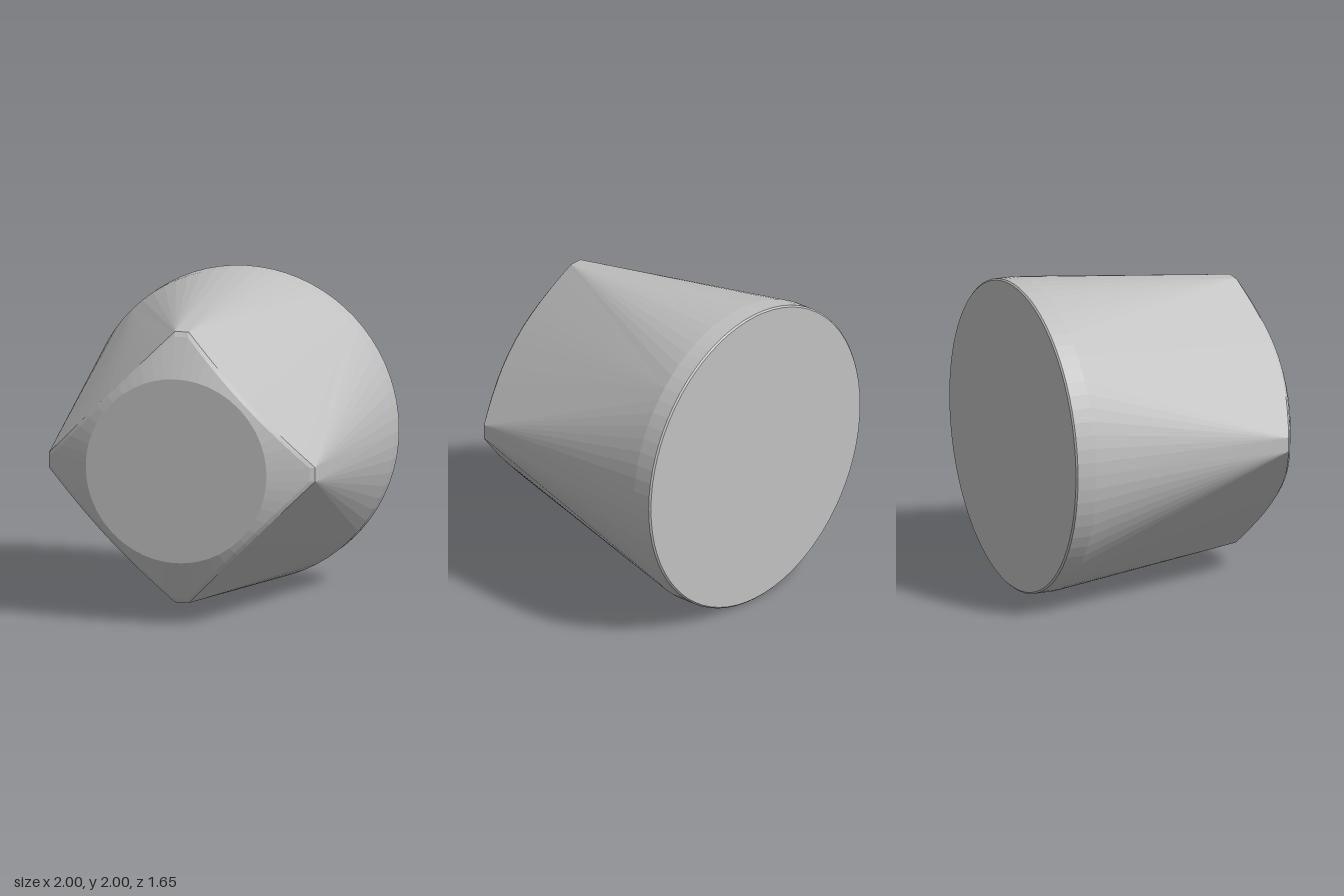
import * as THREE from 'three';

// Columns around the body: each joins a point on the round base to a point on the square rim.
function makeColumns() {
  const columns = [];
  const perEighth = 9, edgeSteps = 12, tip = 0.87, half = 0.045;
  const turn = (x, y, a) => new THREE.Vector2(x, y).rotateAround(new THREE.Vector2(), a);
  for (let q = 0; q < 4; q++) {
    const a = q * Math.PI / 2;
    const before = turn(tip, -half, a), after = turn(tip, half, a);
    const next = turn(tip, -half, a + Math.PI / 2);
    const add = (i, rim) => columns.push({ base: turn(1, 0, a + (i / perEighth) * Math.PI / 4), rim });
    // both halves of the base arc fan in to the clipped corner
    for (let i = -perEighth; i <= 0; i++) add(i, before);
    for (let i = 0; i <= perEighth; i++) add(i, after);
    // the straight rim edge fans back to one point on the base
    for (let j = 1; j < edgeSteps; j++) add(perEighth, after.clone().lerp(next, j / edgeSteps));
  }
  return columns;
}

// Cross-sections of one column from the back centre to the front centre.
function section({ base, rim }) {
  const at = (p, scale, z) => new THREE.Vector3(p.x * scale, p.y * scale, z);
  const r = rim.length(), inner = 0.965;
  const coneZ = 0.826 - 0.46 * Math.max(0, r * inner - 0.59);
  return [
    at(base, 0, -0.826),
    at(base, 0.99, -0.826),
    at(base, 1, -0.816),
    at(base, 1, -0.69),
    at(rim, 1, coneZ - 0.022),
    at(rim, inner, coneZ),
    at(rim, 0.59 / r, 0.826),
    at(rim, 0, 0.826),
  ];
}

// Skin of the sections from ring `from` to ring `to`, with flat facets.
function skin(sections, from, to) {
  const points = [];
  const triangle = (a, b, c) => {
    const area = b.clone().sub(a).cross(c.clone().sub(a)).length();
    if (area > 1e-7) points.push(a, b, c);
  };
  sections.forEach((s, i) => {
    const t = sections[(i + 1) % sections.length];
    for (let k = from; k < to; k++) {
      triangle(s[k], t[k], t[k + 1]);
      triangle(s[k], t[k + 1], s[k + 1]);
    }
  });
  const geometry = new THREE.BufferGeometry().setFromPoints(points);
  geometry.computeVertexNormals();
  return geometry;
}

export function createModel() {
  const model = new THREE.Group();
  model.name = 'taperedCap';
  const grey = new THREE.MeshStandardMaterial({ color: 0xc0c0c0 });
  grey.name = 'plain grey';

  const sections = makeColumns().map(section);
  const parts = { backFace: [0, 1], baseBand: [1, 3], taperedSides: [3, 4], roundedRim: [4, 5], frontBevel: [5, 6], frontFace: [6, 7] };
  for (const [name, [from, to]] of Object.entries(parts)) {
    const mesh = new THREE.Mesh(skin(sections, from, to), grey);
    mesh.name = name;
    mesh.position.y = 1;
    model.add(mesh);
  }
  return model;
}
